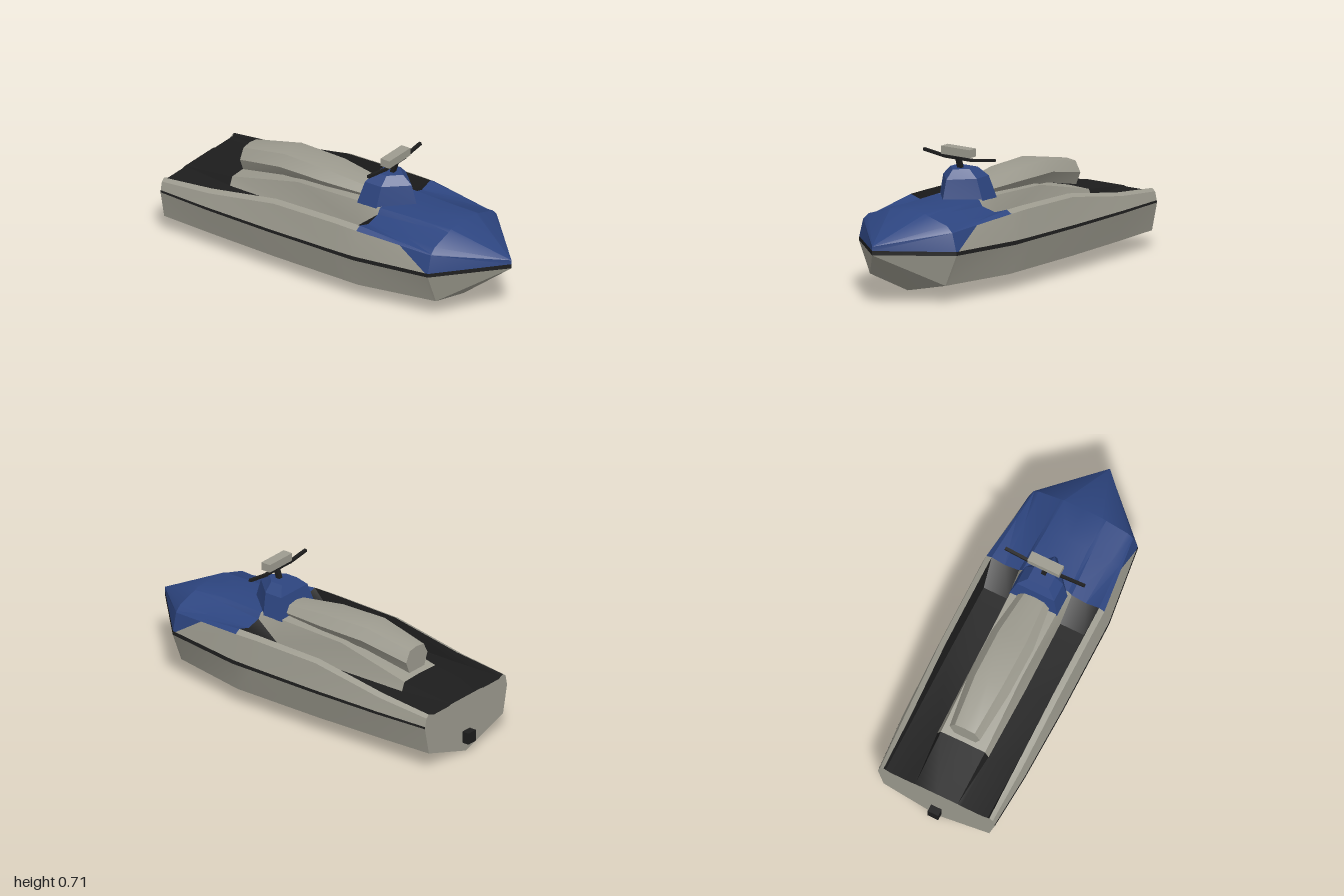
import * as THREE from 'three';
import { toCreasedNormals } from 'three/addons/utils/BufferGeometryUtils.js';

const material = (name, color) => {
  const m = new THREE.MeshStandardMaterial({ color });
  m.name = name;
  return m;
};

// Triangle collector that skips degenerate faces
class Surface {
  constructor() { this.data = []; }
  tri(a, b, c) {
    if (new THREE.Triangle(a, b, c).getArea() < 1e-7) return;
    for (const p of [a, b, c]) this.data.push(p.x, p.y, p.z);
  }
  quad(a, b, c, d) { this.tri(a, b, c); this.tri(a, c, d); }
  mesh(name, mat, crease = 0.5) {
    const g = new THREE.BufferGeometry();
    g.setAttribute('position', new THREE.Float32BufferAttribute(this.data, 3));
    const m = new THREE.Mesh(toCreasedNormals(g, crease), mat);
    m.name = name;
    return m;
  }
}

const V = (x, y, z) => new THREE.Vector3(x, y, z);

// Closed loft through rings, with both ends capped
function loft(name, mat, rings, crease) {
  const s = new Surface(), n = rings[0].length;
  for (let i = 0; i < rings.length - 1; i++) {
    for (let j = 0; j < n; j++) {
      const k = (j + 1) % n;
      s.quad(rings[i][j], rings[i + 1][j], rings[i + 1][k], rings[i][k]);
    }
  }
  const first = rings[0], last = rings[rings.length - 1];
  for (let j = 1; j < n - 1; j++) {
    s.tri(first[0], first[j], first[j + 1]);
    s.tri(last[0], last[j + 1], last[j]);
  }
  return s.mesh(name, mat, crease);
}

// Half sections: z, keel y, then x,y of chine, stripe low, stripe high,
// gunwale outer, gunwale inner, floor outer, floor inner, pedestal, then centre y
const SECTIONS = [
  [0.70, 0.045, 0.24, 0.10, 0.31, 0.265, 0.308, 0.285, 0.283, 0.38, 0.278, 0.385, 0.25, 0.412, 0.13, 0.448, 0.11, 0.457, 0.462],
  [0.27, 0.01, 0.32, 0.095, 0.362, 0.253, 0.36, 0.274, 0.335, 0.41, 0.305, 0.428, 0.23, 0.405, 0.15, 0.425, 0.13, 0.455, 0.465],
  [0.14, 0.005, 0.32, 0.095, 0.362, 0.253, 0.36, 0.271, 0.335, 0.412, 0.305, 0.428, 0.285, 0.32, 0.15, 0.32, 0.13, 0.455, 0.46],
  [-0.25, 0.003, 0.32, 0.095, 0.362, 0.251, 0.36, 0.267, 0.335, 0.405, 0.305, 0.42, 0.29, 0.30, 0.15, 0.30, 0.125, 0.44, 0.445],
  [-0.66, 0.003, 0.31, 0.097, 0.352, 0.25, 0.35, 0.264, 0.33, 0.335, 0.30, 0.35, 0.29, 0.30, 0.145, 0.30, 0.125, 0.345, 0.35],
  [-0.96, 0.003, 0.30, 0.10, 0.332, 0.249, 0.33, 0.26, 0.32, 0.305, 0.30, 0.32, 0.29, 0.305, 0.14, 0.305, 0.12, 0.31, 0.31],
];

function hullSections() {
  const rows = SECTIONS.map((s) => {
    const z = s[0], row = [V(0, s[1], z)];
    for (let i = 2; i < 18; i += 2) row.push(V(s[i], s[i + 1], z));
    row.push(V(0, s[18], z));
    return row;
  });
  // Pointed bow
  const bow = rows[0].map((p, j) => V(0, j < 3 ? 0.28 : j === 3 ? 0.303 : 0.325, 1));
  // Slanting row where the painted hood meets the hull side
  const slant = rows[0].map((p, j) => p.clone().lerp(rows[1][j], j <= 3 ? 0.04 : 0.42));
  return [bow, rows[0], slant, ...rows.slice(1)];
}

function buildHull(mats) {
  const group = new THREE.Group();
  group.name = 'hull';
  const rows = hullSections();
  const parts = {
    lowerHull: ['grey', new Surface()],
    sideStripe: ['black', new Surface()],
    hullSides: ['grey', new Surface()],
    hood: ['blue', new Surface()],
    footwells: ['black', new Surface()],
    seatPedestal: ['grey', new Surface()],
    transom: ['grey', new Surface()],
  };
  const partFor = (i, j) => {
    if (j < 2) return 'lowerHull';
    if (j === 2) return 'sideStripe';
    if (j === 3) return i < 2 ? 'hood' : 'hullSides';
    if (i < 3) return 'hood';
    if (j === 4) return 'hullSides';
    return j >= 7 && i < 6 ? 'seatPedestal' : 'footwells';
  };
  const flip = (p) => V(-p.x, p.y, p.z);
  for (let i = 0; i < rows.length - 1; i++) {
    for (let j = 0; j < rows[0].length - 1; j++) {
      const s = parts[partFor(i, j)][1];
      const q = [rows[i][j], rows[i + 1][j], rows[i + 1][j + 1], rows[i][j + 1]];
      s.quad(...q);
      const [a, b, c, d] = q.map(flip);
      s.tri(a, c, b);
      s.tri(a, d, c);
    }
  }
  // Flat stern
  const stern = rows[rows.length - 1], hub = V(0, 0.2, -0.96);
  for (let j = 0; j < stern.length - 1; j++) {
    parts.transom[1].tri(hub, stern[j + 1], stern[j]);
    parts.transom[1].tri(hub, flip(stern[j]), flip(stern[j + 1]));
  }
  for (const [name, [mat, s]] of Object.entries(parts)) group.add(s.mesh(name, mats[mat]));
  return group;
}

function box(name, mat, w, h, d, x, y, z) {
  const m = new THREE.Mesh(new THREE.BoxGeometry(w, h, d), mat);
  m.name = name;
  m.position.set(x, y, z);
  return m;
}

export function createModel() {
  const mats = {
    grey: material('warm grey', 0x9d9b8f),
    blue: material('navy blue', 0x2d4580),
    black: material('black', 0x1d1d1d),
  };
  const model = new THREE.Group();
  model.name = 'watercraft';
  model.add(buildHull(mats));

  // Seat: z, half width, bottom, middle and top heights
  const seat = [
    [0.16, 0.085, 0.44, 0.475, 0.513],
    [-0.1, 0.118, 0.44, 0.487, 0.543],
    [-0.37, 0.116, 0.425, 0.485, 0.55],
    [-0.64, 0.086, 0.365, 0.43, 0.495],
  ].map(([z, w, lo, mid, hi]) => [
    V(w * 0.7, lo, z), V(w, mid, z), V(w * 0.65, hi - 0.008, z), V(0, hi, z),
    V(-w * 0.65, hi - 0.008, z), V(-w, mid, z), V(-w * 0.7, lo, z),
  ]);
  model.add(loft('seat', mats.grey, seat, 0.6));

  // Steering cowl: height, half width, rear, middle and front z
  const cowl = [
    [0.445, 0.136, 0.13, 0.25, 0.41],
    [0.56, 0.106, 0.158, 0.26, 0.375],
    [0.605, 0.06, 0.19, 0.26, 0.32],
  ].map(([y, w, back, mid, front]) => [
    V(w, y, back), V(w, y, mid), V(0, y, front), V(-w, y, mid), V(-w, y, back),
  ]);
  model.add(loft('steeringCowl', mats.blue, cowl, 0.1));

  // Handlebar, its stem and the display
  const steering = new THREE.Group();
  steering.name = 'steering';
  const stem = box('stem', mats.black, 0.025, 0.075, 0.022, 0, 0.632, 0.265);
  stem.rotation.x = 0.3;
  steering.add(stem, box('barCentre', mats.black, 0.18, 0.014, 0.016, 0, 0.654, 0.268));
  for (const side of [1, -1]) {
    const grip = box(side > 0 ? 'leftGrip' : 'rightGrip', mats.black, 0.138, 0.014, 0.016, side * 0.157, 0.663, 0.265);
    grip.rotation.z = side * 0.135;
    steering.add(grip);
  }
  steering.add(box('display', mats.grey, 0.18, 0.042, 0.055, 0, 0.692, 0.272));
  model.add(steering);

  model.add(box('jetNozzle', mats.black, 0.06, 0.062, 0.07, 0, 0.09, -0.965));
  return model;
}
